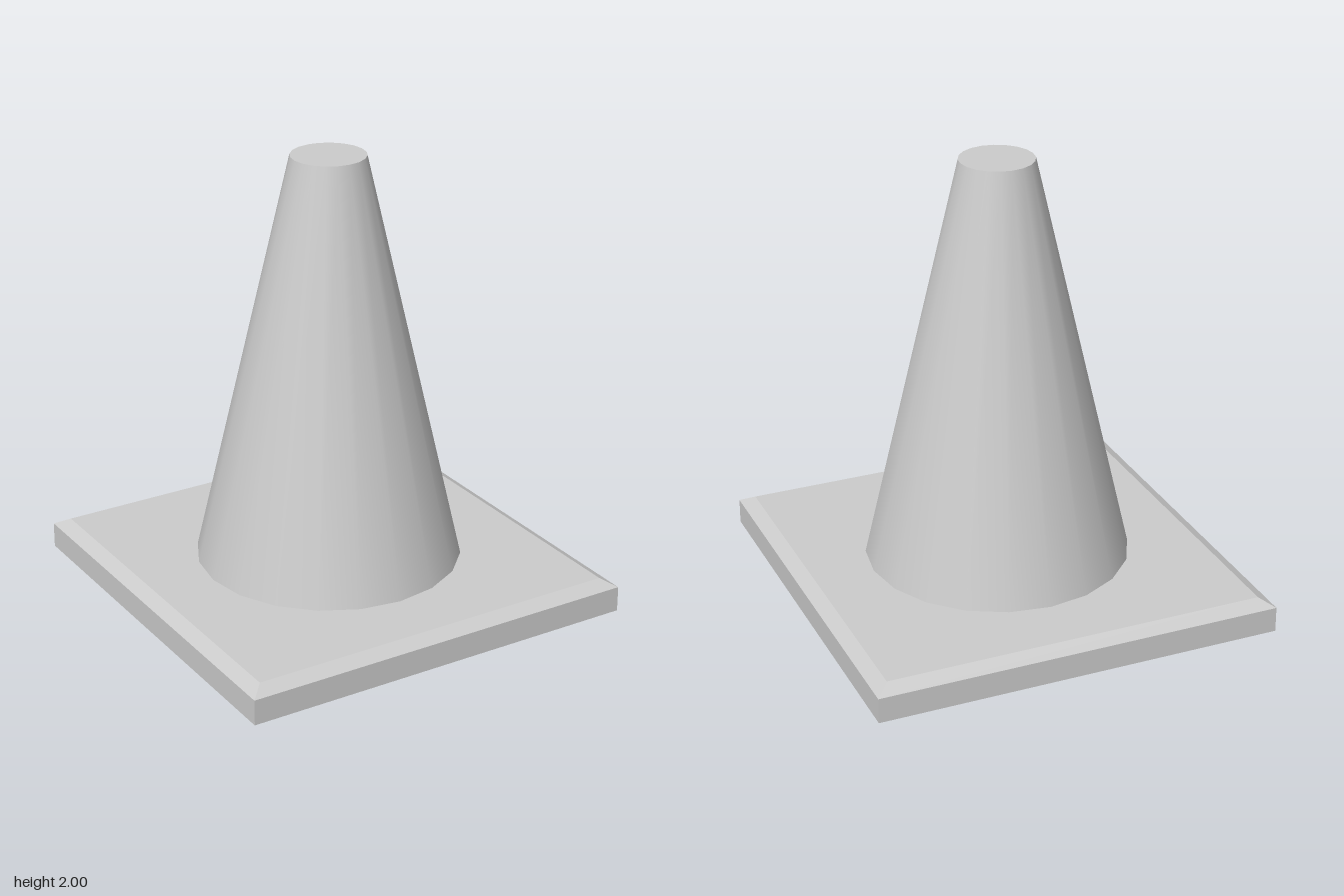
import * as THREE from 'three';

const BASE = { halfX: 0.92, halfZ: 0.93, sideTop: 0.115, top: 0.15, inset: 0.06 };

// Square slab whose upper edges are chamfered
function createBase(material) {
  const { halfX, halfZ, sideTop, top, inset } = BASE;
  const box = new THREE.BoxGeometry(halfX * 2, 2, halfZ * 2, 1, 2, 1);
  const p = box.attributes.position;
  const heights = [0, sideTop, top];
  for (let i = 0; i < p.count; i++) {
    const row = Math.round(p.getY(i)) + 1;
    p.setY(i, heights[row]);
    if (row === 2) {
      p.setX(i, Math.sign(p.getX(i)) * (halfX - inset));
      p.setZ(i, Math.sign(p.getZ(i)) * (halfZ - inset));
    }
  }
  const geometry = box.toNonIndexed();
  geometry.computeVertexNormals();
  const mesh = new THREE.Mesh(geometry, material);
  mesh.name = 'base';
  return mesh;
}

// Smooth tapered body with a flat closed top
function createCone(material) {
  const height = 2 - BASE.top;
  const mesh = new THREE.Mesh(new THREE.CylinderGeometry(0.165, 0.592, height, 20), material);
  mesh.position.y = BASE.top + height / 2;
  mesh.name = 'cone';
  return mesh;
}

export function createModel() {
  const material = new THREE.MeshStandardMaterial({ color: 0xcccccc });
  const group = new THREE.Group();
  group.name = 'trafficCone';
  group.add(createBase(material), createCone(material));
  return group;
}
